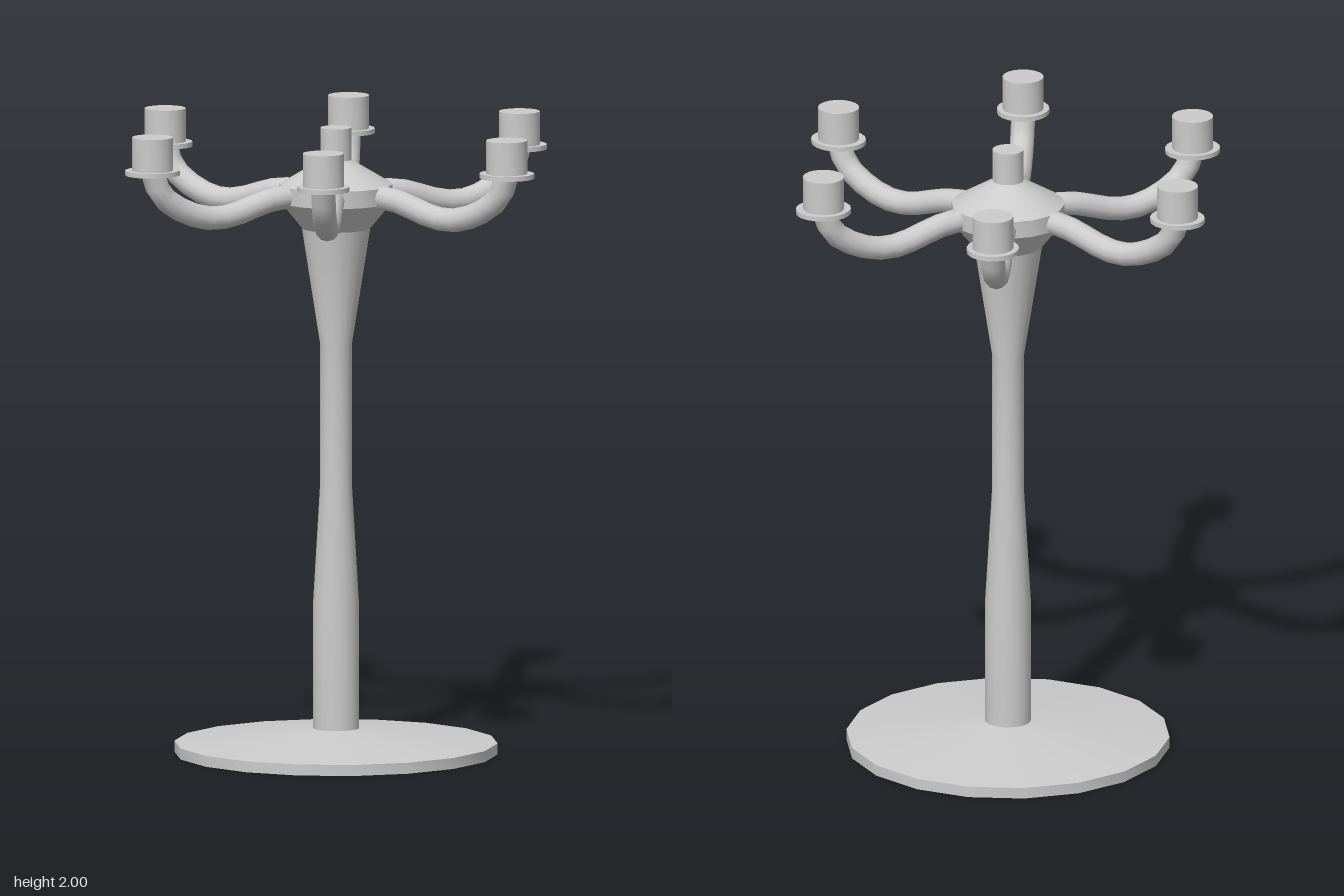
import * as THREE from 'three';
import { toCreasedNormals } from 'three/addons/utils/BufferGeometryUtils.js';

const SIDES = 18;
const material = new THREE.MeshStandardMaterial({ color: 0xcccccc });
const openMaterial = new THREE.MeshStandardMaterial({ color: 0xcccccc, side: THREE.DoubleSide });

// Turned part from [radius, height] pairs, listed from bottom to top
function turned(name, profile, mat = material) {
  const points = profile.map(([r, y]) => new THREE.Vector2(r, y));
  const geometry = toCreasedNormals(new THREE.LatheGeometry(points, SIDES), 0.5);
  const mesh = new THREE.Mesh(geometry, mat);
  mesh.name = name;
  return mesh;
}

// One S-curved arm along +x with its drip dish and candle
function createArm() {
  const arm = new THREE.Group();
  arm.name = 'arm';

  // Level at the hub, dipping midway, then rising to the dish
  const path = new THREE.CatmullRomCurve3([
    [0.13, 1.778], [0.2, 1.778], [0.26, 1.766], [0.34, 1.74],
    [0.43, 1.728], [0.53, 1.755], [0.615, 1.815], [0.645, 1.89],
  ].map(([x, y]) => new THREE.Vector3(x, y, 0)));
  const branch = new THREE.Mesh(new THREE.TubeGeometry(path, 11, 0.038, 12), openMaterial);
  branch.name = 'branch';

  const dish = turned('dripDish', [[0, 1.88], [0.088, 1.88], [0.088, 1.895], [0, 1.895]]);
  dish.scale.z = 0.94;
  const candle = turned('candle', [[0.065, 1.895], [0.065, 2], [0, 2]]);
  dish.position.x = candle.position.x = 0.645;

  arm.add(branch, dish, candle);
  return arm;
}

export function createModel() {
  const model = new THREE.Group();
  model.name = 'candelabrum';

  // Shallow conical foot, hollow underneath
  model.add(turned('base', [[0.51, 0], [0.51, 0.035], [0.072, 0.08]], openMaterial));

  // Hollow stem, narrow in the middle and flared at the top
  model.add(turned('stem',
    [[0.073, 0.08], [0.073, 0.47], [0.05, 0.86], [0.05, 1.3], [0.108, 1.67]], openMaterial));

  // Hub that carries the arms, with the central candle
  model.add(turned('hub',
    [[0.108, 1.67], [0.178, 1.755], [0.178, 1.81], [0.048, 1.888]]));
  model.add(turned('centreCandle', [[0.049, 1.88], [0.049, 1.99], [0, 1.99]]));

  // Six arms around the hub
  for (let i = 0; i < 6; i++) {
    const arm = createArm();
    arm.rotation.y = (i * Math.PI) / 3;
    model.add(arm);
  }
  return model;
}
